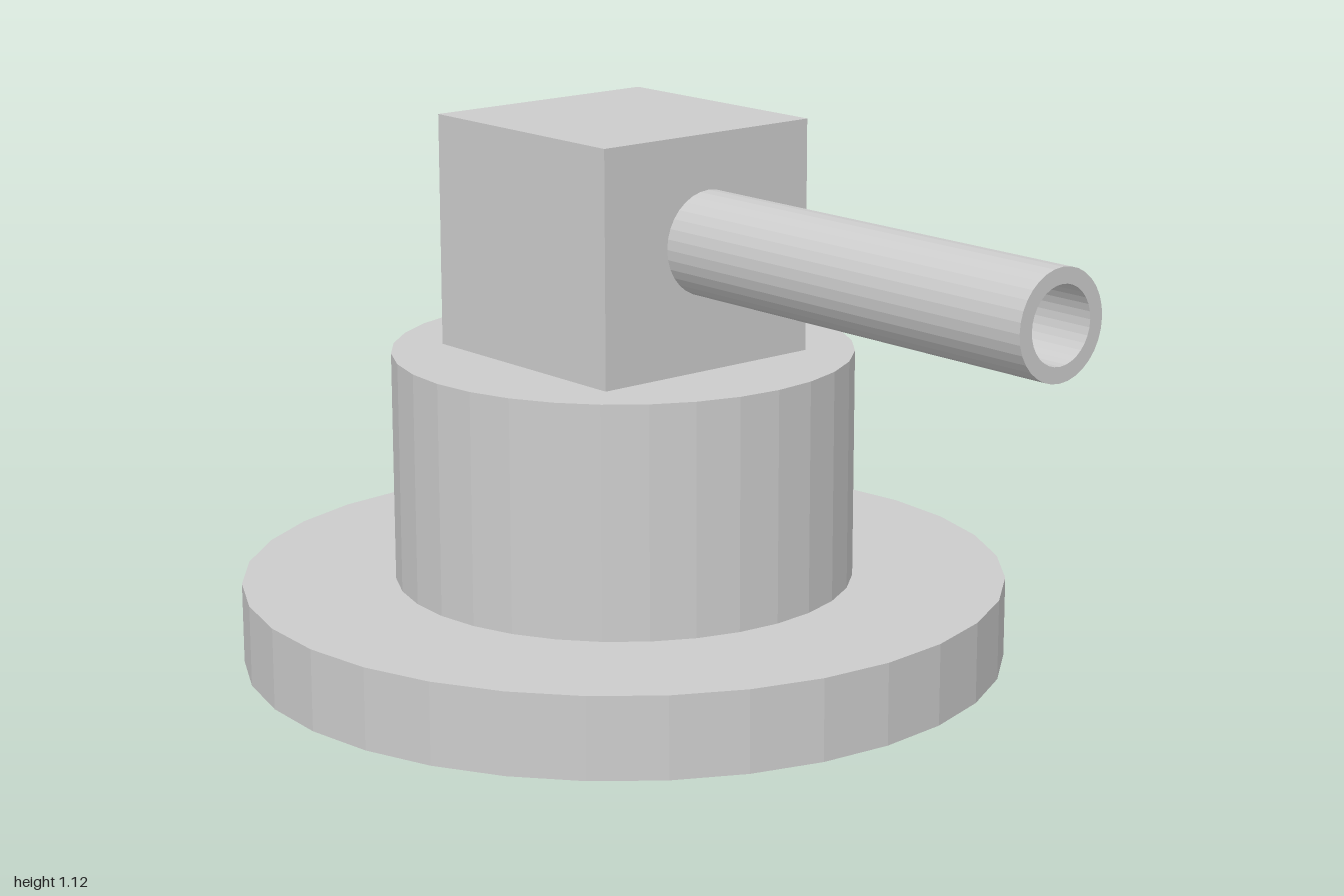
import * as THREE from 'three';

const AXIS_Z = -0.21; // vertical axis of the base, drum and block
const SIDES = 32;

export function createModel() {
  const model = new THREE.Group();
  const material = new THREE.MeshStandardMaterial({ color: 0xcccccc, flatShading: true });

  const add = (name, geometry, x, y, z) => {
    const mesh = new THREE.Mesh(geometry, material);
    mesh.name = name;
    mesh.position.set(x, y, z);
    model.add(mesh);
    return mesh;
  };

  // Round stepped pedestal
  const disc = (name, radius, bottom, top) =>
    add(name, new THREE.CylinderGeometry(radius, radius, top - bottom, SIDES), 0, (bottom + top) / 2, AXIS_Z);
  disc('basePlate', 0.79, 0, 0.168);
  disc('drum', 0.474, 0.168, 0.645);

  // Square block on top of the drum
  const width = 0.527, bottom = 0.645, top = 1.122;
  add('block', new THREE.BoxGeometry(width, top - bottom, width), 0, (bottom + top) / 2, AXIS_Z);

  // Hollow barrel from the block's front face: outer wall, end rim, bore
  const start = AXIS_Z + width / 2, length = 1 - start;
  const outer = 0.106, inner = 0.075;
  const profile = [[outer, 0], [outer, length], [inner, length], [inner, 0]]
    .map(([r, y]) => new THREE.Vector2(r, y));
  const barrel = add('barrel', new THREE.LatheGeometry(profile, SIDES), 0, 0.904, start);
  barrel.rotation.x = Math.PI / 2;

  return model;
}
